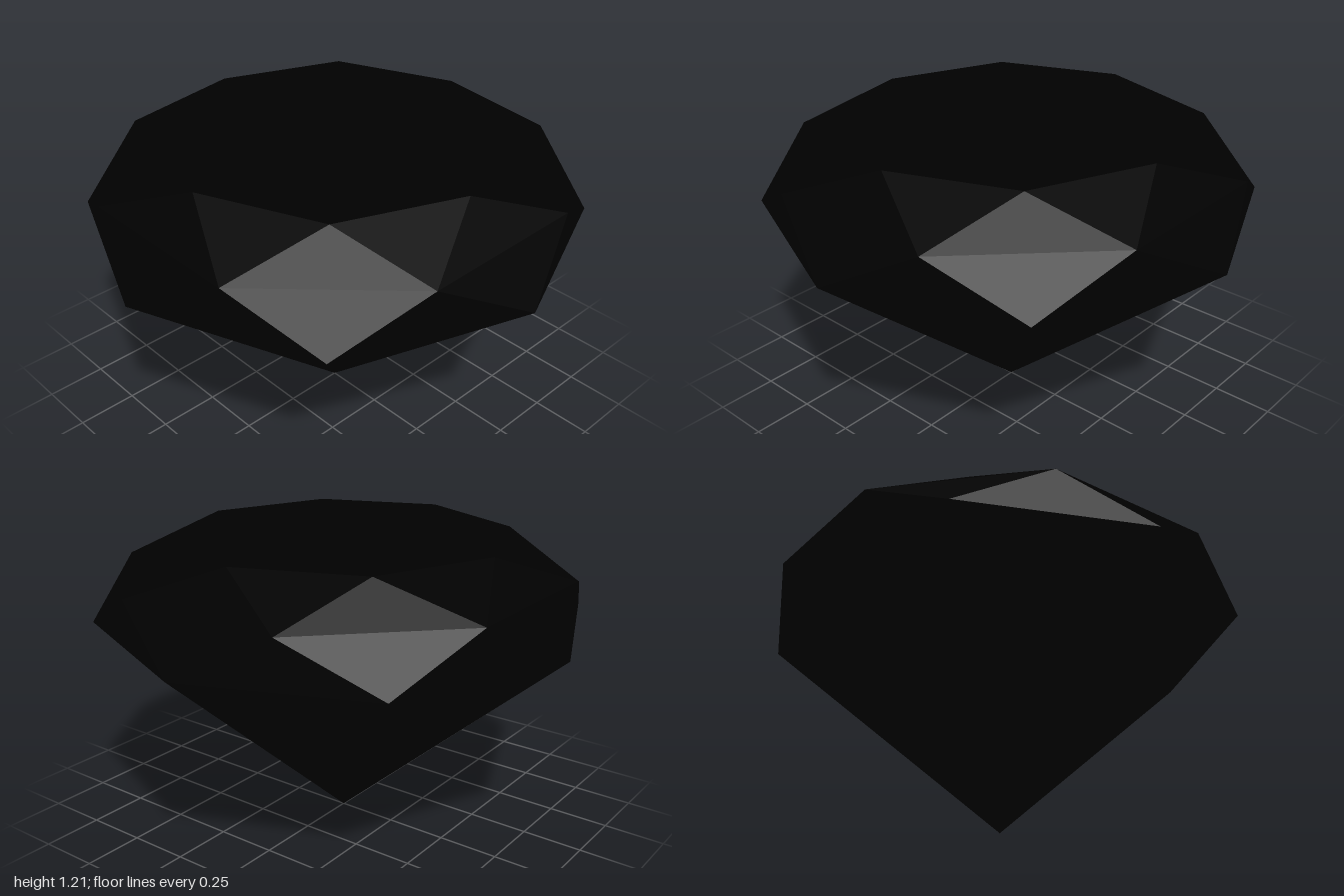
import * as THREE from 'three';

const SIDES = 8;
const STEP = (Math.PI * 2) / SIDES;

// Point k of a ring; half steps fall between the girdle corners
const ringPoint = (radius, y, k) =>
  [radius * Math.sin(k * STEP), y, radius * Math.cos(k * STEP)];

// Ring corners, from widest to top
const girdle = (k) => ringPoint(1, 0.88, k);
const middle = (k) => ringPoint(Math.cos(STEP / 2), 1.07, k + 0.5);
const table = (k) => ringPoint(0.68, 1.21, k);

// Repeats a set of triangles around the axis as one flat-shaded mesh
function facets(name, material, trianglesAt) {
  const positions = [];
  for (let k = 0; k < SIDES; k++) positions.push(...trianglesAt(k).flat(2));
  const geometry = new THREE.BufferGeometry();
  geometry.setAttribute('position', new THREE.Float32BufferAttribute(positions, 3));
  geometry.computeVertexNormals();
  const mesh = new THREE.Mesh(geometry, material);
  mesh.name = name;
  return mesh;
}

export function createModel() {
  const gem = new THREE.Group();
  gem.name = 'cutGem';
  const material = new THREE.MeshStandardMaterial({ color: 0x000000, flatShading: true });

  gem.add(
    // Lower cone meeting in a point
    facets('pavilion', material, (k) => [[[0, 0, 0], girdle(k + 1), girdle(k)]]),
    // Upright triangles over each girdle edge
    facets('girdleFacets', material, (k) => [[girdle(k), girdle(k + 1), middle(k)]]),
    // Kites from each girdle corner up to the table
    facets('kiteFacets', material, (k) => [
      [girdle(k), middle(k), middle(k - 1)],
      [middle(k - 1), middle(k), table(k)],
    ]),
    // Triangles below each table edge
    facets('starFacets', material, (k) => [[middle(k), table(k + 1), table(k)]]),
    // Flat top
    facets('table', material, (k) => [[[0, 1.21, 0], table(k), table(k + 1)]]),
  );
  return gem;
}
